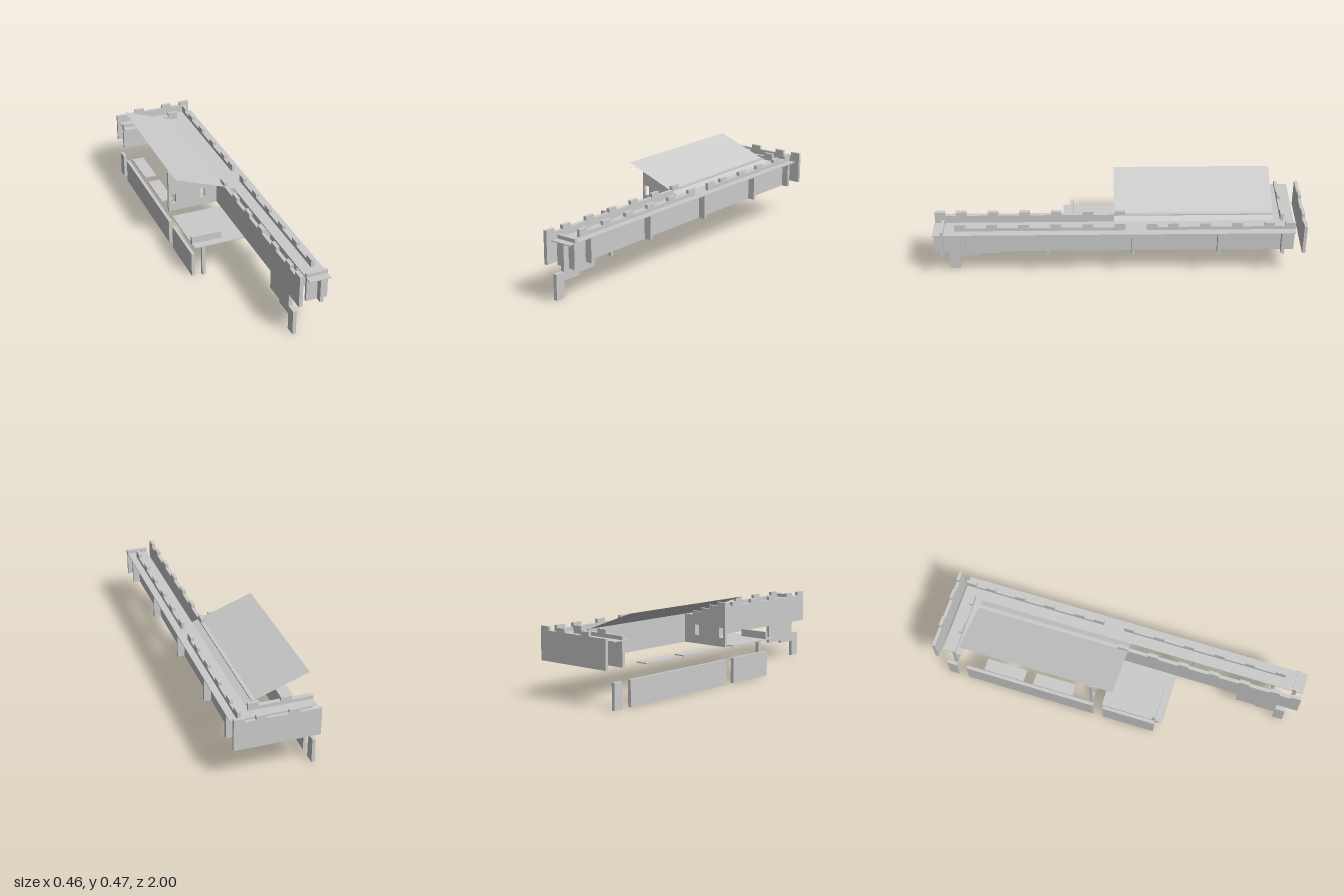
import * as THREE from 'three';

const material = new THREE.MeshStandardMaterial({ color: 0xcccccc, flatShading: true, side: THREE.DoubleSide });
const LOW = 0.207, FLOOR = 0.343, PARAPET = 0.363, MERLON = 0.384;

export function createModel() {
  const model = new THREE.Group();

  function add(name, geometry) {
    const mesh = new THREE.Mesh(geometry, material);
    mesh.name = name;
    model.add(mesh);
    return mesh;
  }

  // Box given by its limits on each axis
  function box(name, x0, x1, y0, y1, z0, z1) {
    const g = new THREE.BoxGeometry(x1 - x0, y1 - y0, z1 - z0);
    g.translate((x0 + x1) / 2, (y0 + y1) / 2, (z0 + z1) / 2);
    return add(name, g);
  }

  const toShape = (points) => new THREE.Shape(points.map(([u, v]) => new THREE.Vector2(u, v)));

  // Upright slab drawn in (z, y), spanning x0..x1
  function slabAlongZ(name, points, x0, x1) {
    const g = new THREE.ExtrudeGeometry(toShape(points), { depth: x1 - x0, bevelEnabled: false });
    g.rotateY(-Math.PI / 2);
    g.translate(x1, 0, 0);
    return add(name, g);
  }

  // Upright slab drawn in (x, y), spanning z0..z1
  function slabAlongX(name, shape, z0, z1) {
    const g = new THREE.ExtrudeGeometry(shape, { depth: z1 - z0, bevelEnabled: false });
    g.translate(0, 0, z0);
    return add(name, g);
  }

  // Top edge from b down to a, with merlons given as [low, high] from high to low
  function crenels(a, b, merlons) {
    const pts = [];
    if (merlons[0][1] < b) pts.push([b, PARAPET]);
    merlons.forEach(([lo, hi]) => {
      if (hi < b) pts.push([hi, PARAPET]);
      pts.push([hi, MERLON], [lo, MERLON]);
      if (lo > a) pts.push([lo, PARAPET]);
    });
    if (merlons[merlons.length - 1][0] > a) pts.push([a, PARAPET]);
    return pts;
  }

  // Evenly spaced merlons, the first one ending at start
  const row = (start, count) => Array.from({ length: count }, (_, i) => {
    const hi = start - i * 0.1714;
    return [hi - 0.057, hi];
  });

  // Inner wall with its stepped foot near the front
  slabAlongZ('innerWall', [
    [-0.83, LOW], [0.66, LOW], [0.66, 0.105], [0.775, 0.105], [0.775, 0.09], [0.885, 0.09],
    [0.885, 0], [0.94, 0], [0.94, 0.138], [0.885, 0.138], [0.885, LOW], [1, LOW],
    ...crenels(-0.83, 1, [[0.943, 1], ...row(0.885, 6)]),
  ], 0.057, 0.077);

  // Long walkway and back walkway
  box('walkwayFloor', 0.112, 0.228, 0.338, FLOOR, -0.94, 1);
  box('backWalkwayFloor', -0.228, 0.112, 0.338, FLOOR, -0.94, -0.83);

  // Outer wall below the walkway, with cross fins
  box('outerWall', 0.172, 0.19, LOW, 0.338, -0.94, 1);
  [0.957, 0.837, 0.387, -0.072, -0.532].forEach((z) => {
    box('wallFin', 0.112, 0.228, LOW, 0.338, z - 0.008, z + 0.008);
  });
  box('backInnerWall', -0.228, 0.228, LOW, 0.338, -0.885, -0.867);

  // Crenellated parapets on the walkway, with a gap in the middle
  slabAlongZ('frontParapet', [
    [-0.029, FLOOR], [0.885, FLOOR], ...crenels(-0.029, 0.885, row(0.885, 6)),
  ], 0.172, 0.19);
  slabAlongZ('rearParapet', [
    [-0.942, FLOOR], [-0.143, FLOOR],
    ...crenels(-0.942, -0.143, [[-0.2, -0.143], ...row(-0.257, 4), [-0.942, -0.885]]),
  ], 0.172, 0.19);
  box('frontEndParapet', 0.112, 0.228, FLOOR, PARAPET, 0.942, 0.96);
  slabAlongX('backParapet', toShape([
    [-0.228, FLOOR], [0.114, FLOOR], ...crenels(-0.228, 0.114, row(0.114, 2)),
  ]), -0.885, -0.867);

  // Back end wall
  slabAlongX('backEndWall', toShape([
    [-0.228, LOW], [0.228, LOW], ...crenels(-0.228, 0.228, [[0.171, 0.228], ...row(0.114, 2)]),
  ]), -1, -0.983);

  // Stepped gable wall with two windows
  const gable = toShape([
    [-0.228, LOW], [0.057, LOW], [0.057, 0.363], [-0.001, 0.363], [-0.001, 0.384], [-0.058, 0.384],
    [-0.058, 0.405], [-0.115, 0.405], [-0.115, 0.426], [-0.172, 0.426], [-0.172, 0.447], [-0.228, 0.447],
  ]);
  [-0.2, -0.03].forEach((x) => {
    const hole = new THREE.Path();
    hole.moveTo(x - 0.015, 0.255).lineTo(x - 0.015, 0.31).lineTo(x + 0.015, 0.31).lineTo(x + 0.015, 0.255).closePath();
    gable.holes.push(hole);
  });
  slabAlongX('gableWall', gable, -0.1, -0.083);

  // Thin sloping roof
  const rise = 0.467 - FLOOR, run = 0.34;
  const roof = new THREE.PlaneGeometry(Math.hypot(run, rise), 0.86);
  roof.rotateX(-Math.PI / 2);
  roof.rotateZ(-Math.atan2(rise, run));
  roof.translate(-0.058, (0.467 + FLOOR) / 2, -0.4);
  add('roof', roof);

  // Raised platform with its low rail and post
  box('platform', -0.228, 0.112, 0.201, LOW, -0.03, 0.314);
  box('platformRail', -0.228, -0.058, LOW, 0.247, 0.255, 0.273);
  box('platformPost', -0.172, -0.153, 0, 0.201, 0.262, 0.28);

  // Two small slabs on the open side
  box('sideSlab', -0.228, -0.16, 0.201, LOW, -0.43, -0.2);
  box('sideSlab', -0.228, -0.16, 0.201, LOW, -0.714, -0.485);

  // Low wall panels at ground level
  [[-0.942, -0.885], [-0.828, -0.085], [-0.028, 0.268]].forEach(([z0, z1]) => {
    box('lowWall', -0.228, -0.21, 0, 0.138, z0, z1);
  });

  return model;
}
